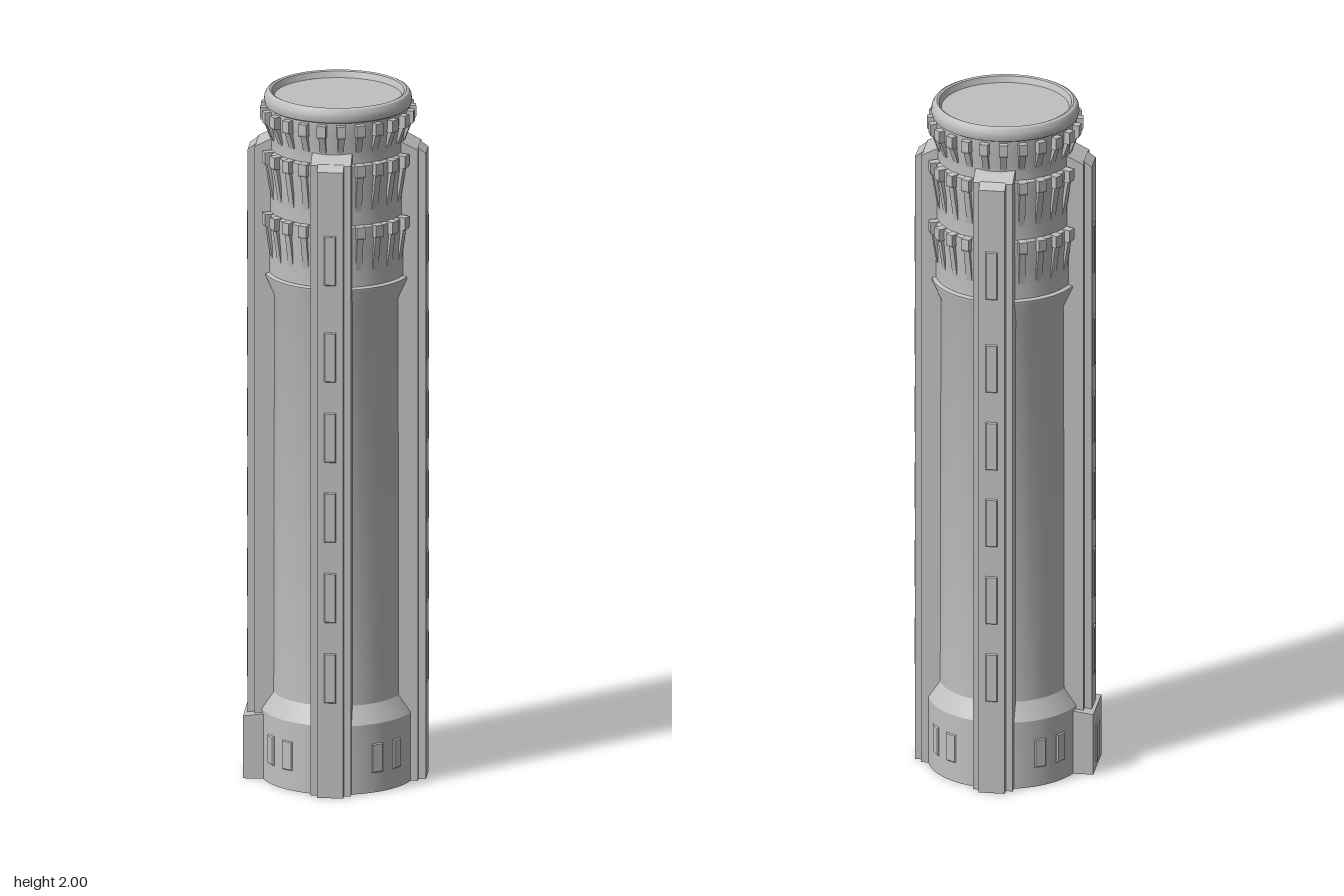
import * as THREE from 'three';
import { toCreasedNormals } from 'three/addons/utils/BufferGeometryUtils.js';

const stone = new THREE.MeshStandardMaterial({ color: 0xc0c0c0 });
stone.name = 'pale grey stone';

// Side profile [distance from axis, height] given a tangential width
function slab(profile, width) {
  const shape = new THREE.Shape(profile.map(([r, y]) => new THREE.Vector2(r, y)));
  const geo = new THREE.ExtrudeGeometry(shape, { depth: width, bevelEnabled: false });
  return geo.translate(0, 0, -width / 2);
}

// Raised panel with chamfered edges, facing outward along +x
function panel(reach, y, width, height, depth = 0.006) {
  const w = width / 2, h = height / 2;
  const shape = new THREE.Shape([[-w, -h], [w, -h], [w, h], [-w, h]].map(p => new THREE.Vector2(...p)));
  const geo = new THREE.ExtrudeGeometry(shape, {
    depth: 0.004, bevelEnabled: true, bevelSegments: 1,
    bevelThickness: depth - 0.002, bevelSize: 0.003, bevelOffset: -0.003,
  });
  return geo.rotateY(Math.PI / 2).translate(reach - 0.004, y, 0);
}

function add(parent, name, geo, angle = 0) {
  const mesh = new THREE.Mesh(geo, stone);
  mesh.name = name;
  mesh.rotation.y = angle;
  parent.add(mesh);
  return mesh;
}

export function createModel() {
  const model = new THREE.Group();
  model.name = 'tower';
  const tower = new THREE.Group();
  tower.name = 'towerBody';
  tower.position.set(0.008, 0, -0.01);
  model.add(tower);

  // Round shaft with flared base, stepped head, rounded rim and sunken roof
  const profile = [
    [0, 0], [0.217, 0], [0.217, 0.2], [0.185, 0.25], [0.183, 1.41],
    [0.207, 1.465], [0.207, 1.472], [0.196, 1.476],
    [0.196, 1.56], [0.203, 1.63], [0.203, 1.65], [0.193, 1.654],
    [0.193, 1.74], [0.202, 1.81], [0.202, 1.83], [0.191, 1.834],
    [0.191, 1.88], [0.2, 1.925], [0.2, 1.957],
    [0.205, 1.96], [0.208, 1.972], [0.206, 1.986], [0.2, 1.996], [0.192, 2],
    [0.186, 1.997], [0.179, 1.98], [0, 1.98],
  ].map(p => new THREE.Vector2(...p));
  add(tower, 'shaft', toCreasedNormals(new THREE.LatheGeometry(profile, 72), 0.5));

  // Three rings of corbels: a tooth above a rib that tapers down into the wall
  const rings = [[1.655, 0.15], [1.835, 0.14], [1.952, 0.085]];
  for (const [top, drop] of rings) {
    const ring = new THREE.Group();
    ring.name = 'corbelRing';
    tower.add(ring);
    const tooth = slab([[0.185, top - 0.036], [0.217, top - 0.036], [0.219, top - 0.03],
      [0.219, top], [0.185, top]], 0.025);
    const rib = slab([[0.185, top - drop], [0.193, top - drop], [0.211, top - 0.036],
      [0.185, top - 0.036]], 0.018);
    for (let i = 0; i < 24; i++) {
      const a = (i + 0.5) * Math.PI / 12;
      add(ring, 'tooth', tooth, a);
      add(ring, 'rib', rib, a);
    }
  }

  // Four diagonal buttresses, each with a column of six slit windows
  const wide = slab([[0.12, 0], [0.23, 0], [0.23, 1.842], [0.185, 1.865], [0.12, 1.865]], 0.113);
  const narrow = slab([[0.2, 0], [0.251, 0], [0.251, 1.828], [0.228, 1.845], [0.2, 1.845]], 0.074);
  for (let i = 0; i < 4; i++) {
    const buttress = new THREE.Group();
    buttress.name = 'buttress';
    buttress.rotation.y = Math.PI / 4 + i * Math.PI / 2;
    tower.add(buttress);
    add(buttress, 'buttressBack', wide);
    add(buttress, 'buttressFront', narrow);
    for (const y of [0.35, 0.585, 0.82, 1.053, 1.288, 1.57])
      add(buttress, 'slitWindow', panel(0.251, y, 0.034, 0.145));
  }

  // Pairs of base windows on the four open sides
  for (let i = 0; i < 4; i++) {
    for (const side of [-1, 1]) {
      const a = i * Math.PI / 2 + side * 0.165;
      const frame = new THREE.Group();
      frame.name = 'baseWindow';
      frame.position.set(Math.cos(a) * 0.215, 0.1, -Math.sin(a) * 0.215);
      frame.rotation.y = a + side * 0.08;
      tower.add(frame);
      add(frame, 'baseWindowPanel', panel(0.002, 0, 0.035, 0.085));
    }
  }

  // Entrance block at the front right buttress, with its door
  const porch = new THREE.Group();
  porch.name = 'porch';
  porch.rotation.y = -Math.PI * 3 / 4;
  tower.add(porch);
  add(porch, 'porchBlock', slab([[0.15, 0], [0.261, 0], [0.261, 0.182], [0.2, 0.19], [0.15, 0.19]], 0.149));
  add(porch, 'door', panel(0.261, 0.075, 0.048, 0.115));

  return model;
}
